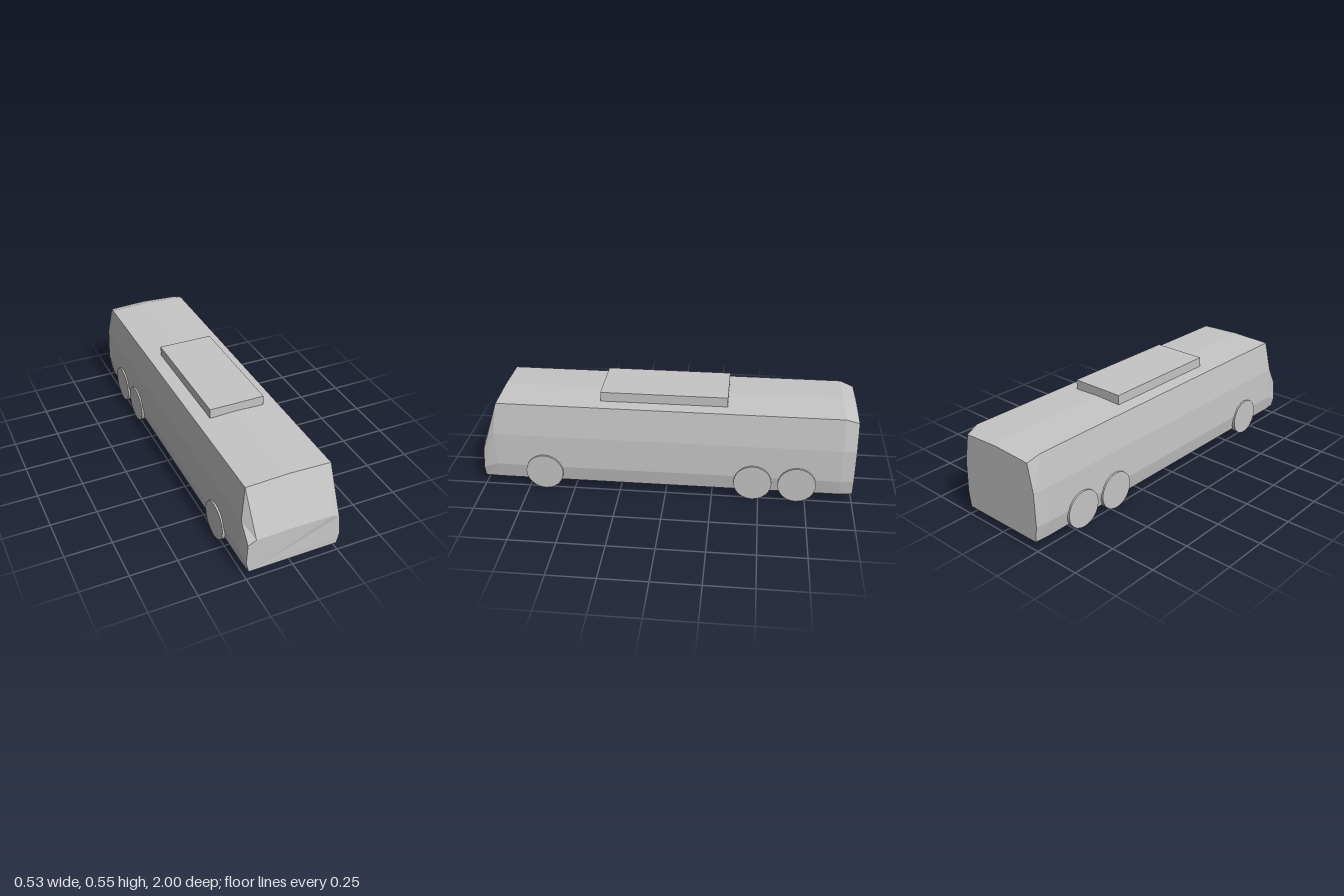
import * as THREE from 'three';

const bodyGrey = new THREE.MeshStandardMaterial({ color: 0xc6c6c6, flatShading: true });
bodyGrey.name = 'bodyGrey';

// Mirror a half section (bottom edge up to roof centre) into a full ring, -x to +x.
function ring(half) {
  const left = half.map(([x, y, z]) => [-x, y, z]);
  return [...left, ...half.slice(0, -1).reverse()];
}

// Skin closed rings from back to front and cap both ends.
function loft(rings) {
  const pos = [];
  const tri = (a, b, c) => pos.push(...a, ...b, ...c);
  const n = rings[0].length;
  for (let k = 0; k < rings.length - 1; k++) {
    const s = rings[k], t = rings[k + 1];
    for (let i = 0; i < n; i++) {
      const j = (i + 1) % n;
      tri(s[i], t[j], s[j]);
      tri(s[i], t[i], t[j]);
    }
  }
  const back = rings[0], front = rings[rings.length - 1];
  for (let i = 1; i < n - 1; i++) {
    tri(back[0], back[i], back[i + 1]);
    tri(front[0], front[i + 1], front[i]);
  }
  const g = new THREE.BufferGeometry();
  g.setAttribute('position', new THREE.Float32BufferAttribute(pos, 3));
  g.computeVertexNormals();
  return g;
}

export function createModel() {
  const bus = new THREE.Group();
  bus.name = 'bus';
  const add = (geometry, name, x = 0, y = 0, z = 0) => {
    const mesh = new THREE.Mesh(geometry, bodyGrey);
    mesh.name = name;
    mesh.position.set(x, y, z);
    bus.add(mesh);
    return mesh;
  };

  // Body shell: tapered tail, straight saloon, sloped windscreen and upright nose
  const section = [[0.245, 0.048], [0.259, 0.135], [0.251, 0.316], [0.225, 0.49], [0, 0.498]];
  const at = (...zs) => ring(section.map(([x, y], i) => [x, y, zs[i]]));
  const tail = ring([[0.238, 0.048, -1], [0.25, 0.135, -1], [0.243, 0.316, -1], [0.212, 0.465, -1], [0, 0.475, -1]]);
  const nose = ring([[0.24, 0.048, 1], [0.253, 0.105, 1], [0.245, 0.212, 0.995], [0.205, 0.238, 1], [0, 0.242, 1]]);
  add(loft([
    tail,
    at(-0.93, -0.93, -0.93, -0.93, -0.93),
    at(0.92, 0.92, 0.93, 0.908, 0.908),
    nose,
  ]), 'body');

  // Roof unit
  add(new THREE.BoxGeometry(0.3, 0.052, 0.675), 'roofUnit', 0, 0.519, 0.018);

  // Wheels: one front axle and two rear axles
  const wheel = new THREE.CylinderGeometry(0.1015, 0.1015, 0.102, 24);
  wheel.rotateZ(Math.PI / 2);
  const axles = { frontWheel: 0.66, middleWheel: -0.467, rearWheel: -0.702 };
  for (const [name, z] of Object.entries(axles)) {
    for (const side of [1, -1]) {
      add(wheel, name + (side > 0 ? 'Left' : 'Right'), side * 0.215, 0.1015, z);
    }
  }
  return bus;
}
